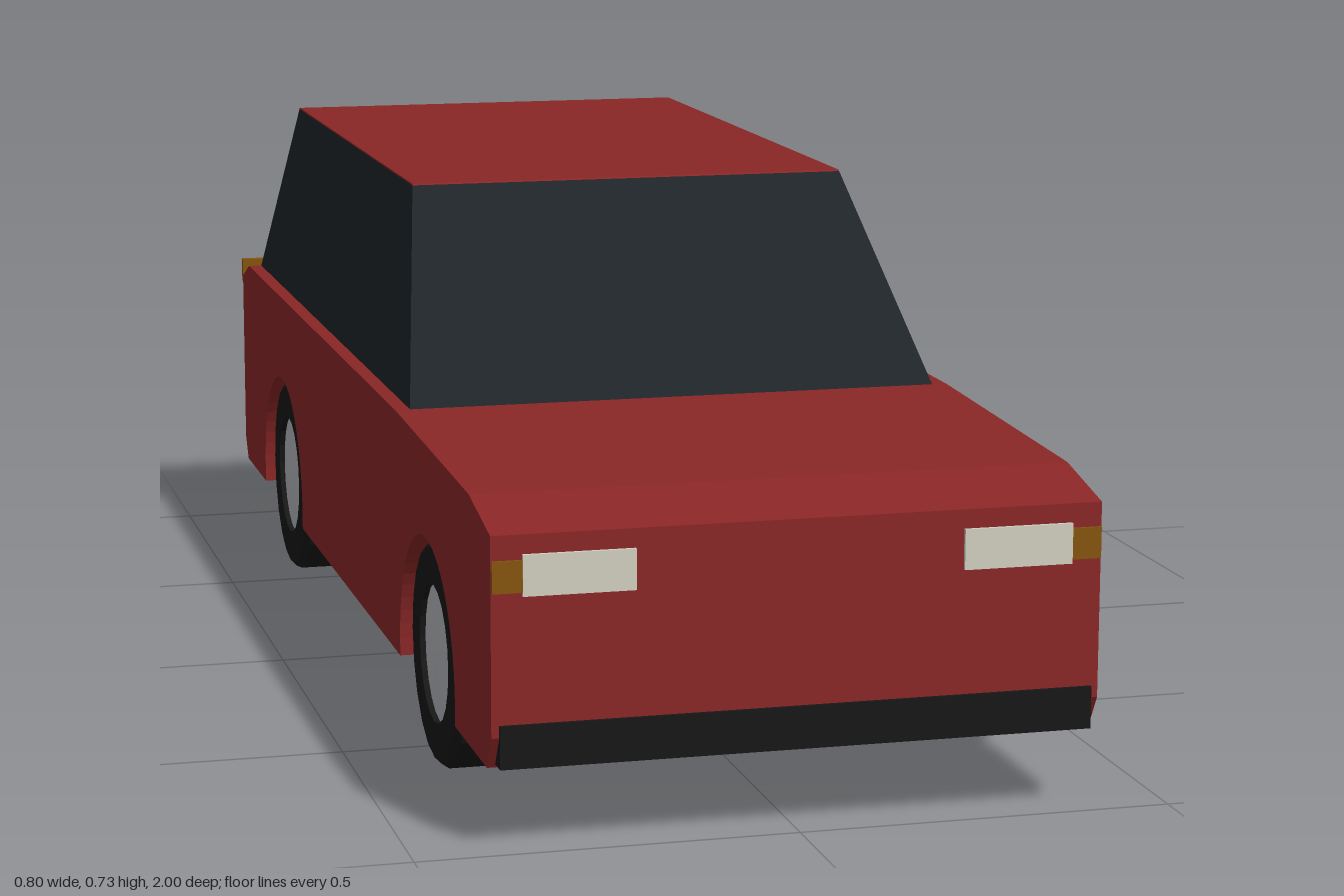
import * as THREE from 'three';

const paint = (color, flatShading = true) => new THREE.MeshStandardMaterial({ color, flatShading });
const red = paint(0x8a2626), glass = paint(0x1f2428), rubber = paint(0x171717);
const metal = paint(0xb4b6ba), lamp = paint(0xd0cfc0), amber = paint(0x855510), tail = paint(0x651012);

function add(parent, name, geometry, material) {
  const mesh = new THREE.Mesh(geometry, material);
  mesh.name = name;
  parent.add(mesh);
  return mesh;
}

// Box given by its limits on each axis
function block(x0, x1, y0, y1, z0, z1) {
  return new THREE.BoxGeometry(x1 - x0, y1 - y0, z1 - z0)
    .translate((x0 + x1) / 2, (y0 + y1) / 2, (z0 + z1) / 2);
}

// Slice of the tapering cabin between two heights
function cabinSlice(y0, y1) {
  const geo = new THREE.BoxGeometry(1, 1, 1);
  const p = geo.attributes.position;
  for (let i = 0; i < p.count; i++) {
    const y = p.getY(i) > 0 ? y1 : y0;
    const t = (y - 0.445) / 0.28;
    const x = THREE.MathUtils.lerp(0.38, 0.32, t);
    const z = p.getZ(i) > 0 ? THREE.MathUtils.lerp(0.39, 0.12, t) : THREE.MathUtils.lerp(-0.92, -0.85, t);
    p.setXYZ(i, Math.sign(p.getX(i)) * x, y, z);
  }
  geo.computeVertexNormals();
  return geo;
}

// Side profile with wheel arches, extruded across the width
function bodyGeometry() {
  const s = new THREE.Shape();
  s.moveTo(0.968, 0.105);
  [[0.995, 0.15], [0.995, 0.408], [0.87, 0.434], [0.39, 0.449], [-0.92, 0.449],
    [-0.99, 0.422], [-0.99, 0.14], [-0.965, 0.105]].forEach(([z, y]) => s.lineTo(z, y));
  for (const z of [-0.59, 0.59]) {
    s.lineTo(z - 0.185, 0.105);
    s.absarc(z, 0.13, 0.185, Math.PI, 0, true);
    s.lineTo(z + 0.185, 0.105);
  }
  s.closePath();
  return new THREE.ExtrudeGeometry(s, { depth: 0.8, bevelEnabled: false, curveSegments: 14 })
    .translate(0, 0, -0.4).rotateY(-Math.PI / 2);
}

// Wheel with its outer side towards +y: open tyre ring and a shallow domed rim
function wheel(name) {
  const g = new THREE.Group();
  g.name = name;
  const ring = [[0.095, -0.05], [0.145, -0.05], [0.155, -0.04], [0.155, 0.04], [0.145, 0.05], [0.095, 0.05], [0.095, -0.05]];
  add(g, 'tyre', new THREE.LatheGeometry(ring.map(([r, y]) => new THREE.Vector2(r, y)), 20), rubber);
  const disc = [[0, -0.005], [0.096, -0.005], [0.096, 0.042], [0, 0.048]];
  add(g, 'rim', new THREE.LatheGeometry(disc.map(([r, y]) => new THREE.Vector2(r, y)), 20), metal);
  return g;
}

export function createModel() {
  const car = new THREE.Group();
  car.name = 'car';
  add(car, 'body', bodyGeometry(), red);
  add(car, 'windows', cabinSlice(0.445, 0.723), glass);
  add(car, 'roof', cabinSlice(0.723, 0.725), red);
  add(car, 'frontBumper', block(-0.39, 0.39, 0.11, 0.166, 0.96, 1), rubber);
  add(car, 'rearBumper', block(-0.39, 0.39, 0.122, 0.176, -1, -0.96), rubber);

  for (const side of [1, -1]) {
    const label = side > 0 ? 'left' : 'right';
    // Lamps, mirrored across the car
    const light = (name, x0, x1, y0, y1, z0, z1, mat) =>
      add(car, label + name, block(Math.min(side * x0, side * x1), Math.max(side * x0, side * x1), y0, y1, z0, z1), mat);
    light('Headlight', 0.215, 0.36, 0.33, 0.383, 0.98, 1, lamp);
    light('FrontIndicator', 0.36, 0.399, 0.335, 0.376, 0.98, 0.999, amber);
    light('TailLight', 0.215, 0.355, 0.345, 0.398, -1, -0.98, tail);
    light('RearIndicator', 0.353, 0.4, 0.412, 0.45, -1, -0.988, amber);

    for (const [end, z] of [['Front', 0.59], ['Rear', -0.59]]) {
      const w = wheel(label + end + 'Wheel');
      w.rotation.z = -side * Math.PI / 2;
      w.position.set(side * 0.34, 0.155, z);
      car.add(w);
    }
  }
  return car;
}
